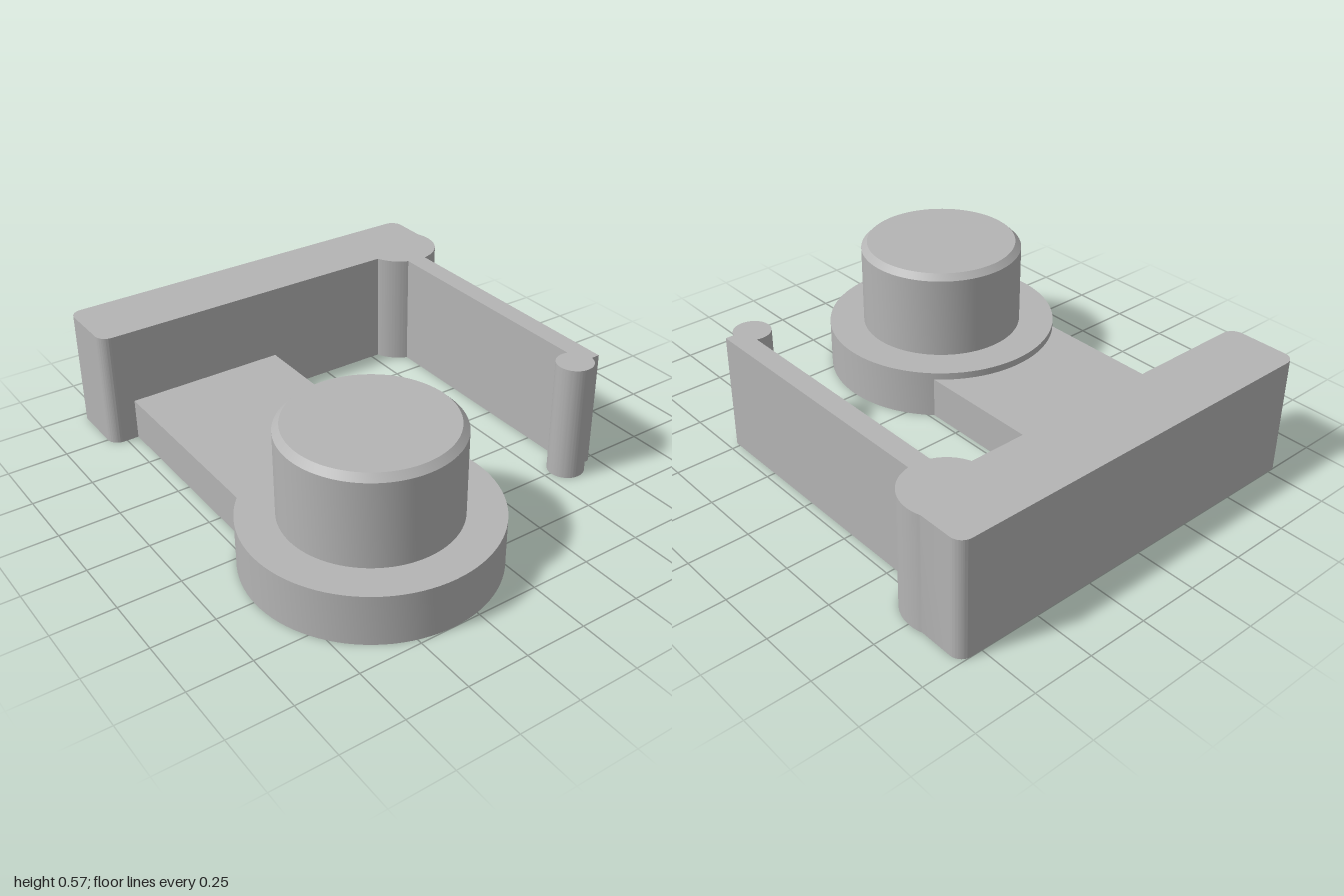
import * as THREE from 'three';
import { toCreasedNormals } from 'three/addons/utils/BufferGeometryUtils.js';

export function createModel() {
  const model = new THREE.Group();
  model.name = 'clipBracket';
  const grey = new THREE.MeshStandardMaterial({ color: 0xb4b4b4 });
  grey.name = 'plain grey';

  const add = (name, geometry) => {
    const mesh = new THREE.Mesh(toCreasedNormals(geometry, 0.5), grey);
    mesh.name = name;
    model.add(mesh);
    return mesh;
  };

  // Plan outline of the wall, hinge hub, thin arm and end bead (shape y = -z)
  const hub = { x: -0.755, y: 0.69, r: 0.165 };
  const bead = { x: 0.505, y: 0.605, r: 0.075 };
  const angleAtY = (c, y) => Math.asin((y - c.y) / c.r);
  const corner = 0.05, front = -0.815, back = 0.845, inner = -0.7;
  const armIn = 0.63, armOut = 0.715, armEnd = 0.52;

  const s = new THREE.Shape();
  s.moveTo(-1, front + corner);
  s.absarc(-1 + corner, front + corner, corner, Math.PI, Math.PI * 1.5);
  s.absarc(inner - corner, front + corner, corner, -Math.PI / 2, 0);
  s.absarc(hub.x, hub.y, hub.r, -Math.acos((inner - hub.x) / hub.r), angleAtY(hub, armIn));
  s.absarc(bead.x, bead.y, bead.r, Math.PI - angleAtY(bead, armIn),
    2 * Math.PI + Math.acos((armEnd - bead.x) / bead.r));
  s.lineTo(armEnd, armOut);
  s.absarc(hub.x, hub.y, hub.r, angleAtY(hub, armOut), Math.PI - angleAtY(hub, back));
  s.absarc(-1 + corner, back - corner, corner, Math.PI / 2, Math.PI);
  s.closePath();
  const wall = new THREE.ExtrudeGeometry(s, { depth: 0.49, bevelEnabled: false, curveSegments: 32 });
  wall.rotateX(-Math.PI / 2);
  add('wallAndArm', wall);

  // Low plate joining the wall to the round base
  const plate = new THREE.BoxGeometry(1.25, 0.175, 0.68);
  plate.translate(-0.115, 0.0875, 0.36);
  add('connectingPlate', plate);

  // Round base with a chamfered post
  const profile = [
    [0, 0], [0.49, 0], [0.49, 0.205], [0.342, 0.205],
    [0.342, 0.55], [0.317, 0.575], [0, 0.575],
  ].map(([r, y]) => new THREE.Vector2(r, y));
  add('baseAndPost', new THREE.LatheGeometry(profile, 96)).position.set(0.51, 0, 0.36);

  return model;
}
